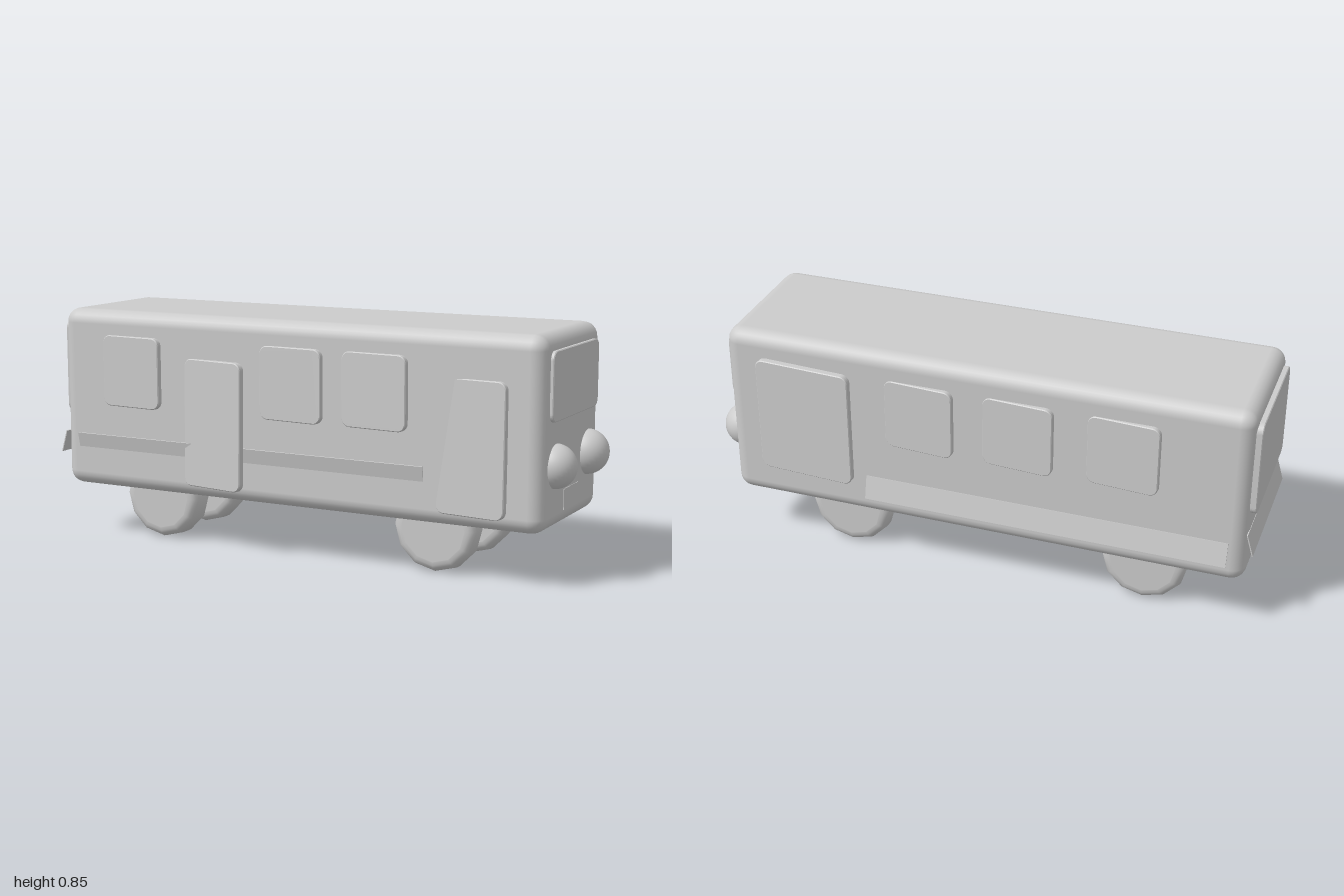
import * as THREE from 'three';
import { RoundedBoxGeometry } from 'three/addons/geometries/RoundedBoxGeometry.js';

const mat = new THREE.MeshStandardMaterial({ color: 0xcccccc });

export function createModel() {
  const bus = new THREE.Group();
  bus.name = 'bus';

  const add = (name, geometry, x, y, z) => {
    const mesh = new THREE.Mesh(geometry, mat);
    mesh.name = name;
    mesh.position.set(x, y, z);
    bus.add(mesh);
    return mesh;
  };

  // Rounded-rectangle panel; its outer face lies at local z = 0
  const panel = (name, w, h, x, y, z, turn, tilt = 0, thick = 0.02, r = 0.03) => {
    const a = w / 2, b = h / 2, s = new THREE.Shape();
    s.moveTo(-a + r, -b);
    s.lineTo(a - r, -b);
    s.absarc(a - r, -b + r, r, -Math.PI / 2, 0);
    s.absarc(a - r, b - r, r, 0, Math.PI / 2);
    s.absarc(-a + r, b - r, r, Math.PI / 2, Math.PI);
    s.absarc(-a + r, -b + r, r, Math.PI, Math.PI * 1.5);
    const g = new THREE.ExtrudeGeometry(s, {
      depth: thick, curveSegments: 5, bevelThickness: 0.003,
      bevelSize: 0.003, bevelOffset: -0.003, bevelSegments: 1,
    });
    g.translate(0, 0, -thick - 0.003);
    const mesh = add(name, g, x, y, z);
    mesh.rotation.set(tilt, turn, 0, 'YXZ');
  };

  // Body shell
  add('body', new RoundedBoxGeometry(1.9, 0.66, 0.541, 3, 0.052), -0.026, 0.52, -0.003);

  // Left and right side windows, each slightly ajar
  for (const x of [-0.67, -0.008, 0.315]) {
    panel('sideWindow', 0.25, 0.26, x, 0.63, 0.279, -0.07);
  }
  for (const x of [-0.54, -0.168, 0.193]) {
    panel('sideWindow', 0.255, 0.26, x, 0.625, -0.284, Math.PI - 0.07);
  }

  // Doors
  panel('middleDoor', 0.255, 0.46, -0.318, 0.465, 0.292, -0.15, -0.016);
  panel('frontDoor', 0.255, 0.46, 0.672, 0.465, 0.277, -0.1, -0.015);
  panel('driverDoor', 0.36, 0.435, 0.62, 0.543, -0.305, Math.PI - 0.06);

  // Windshield, rear window and number plate
  panel('windshield', 0.435, 0.235, 0.936, 0.678, -0.003, Math.PI / 2);
  panel('rearWindow', 0.46, 0.345, -0.995, 0.628, -0.01, -Math.PI / 2);
  add('plate', new THREE.BoxGeometry(0.01, 0.073, 0.134), 0.921, 0.281, 0);

  // Tilted trim strips on both sides and the rear
  add('sideTrim', new THREE.BoxGeometry(1.41, 0.085, 0.004), -0.205, 0.348, 0.268).rotation.x = 0.22;
  add('sideTrim', new THREE.BoxGeometry(1.31, 0.087, 0.004), -0.265, 0.322, -0.303).rotation.x = 0.24;
  add('rearTrim', new THREE.BoxGeometry(0.004, 0.083, 0.52), -0.987, 0.348, 0).rotation.z = -0.28;

  // Headlights
  add('headlight', new THREE.SphereGeometry(0.076, 32, 20), 0.92, 0.408, 0.146);
  add('headlight', new THREE.SphereGeometry(0.079, 32, 20), 0.92, 0.407, -0.164);

  // Wheels: flat-sided twelve-sided discs with rounded shoulders
  const wheel = (x, z, width) => {
    const R = 0.155, r = 0.036, h = width / 2, flat = R - r;
    const pts = [new THREE.Vector2(0, -h), new THREE.Vector2(flat - 0.002, -h)];
    for (let i = 0; i <= 5; i++) {
      const t = -Math.PI / 2 + (i / 5) * Math.PI / 2;
      pts.push(new THREE.Vector2(flat + r * Math.cos(t), -h + r + r * Math.sin(t)));
    }
    for (let i = 0; i <= 5; i++) {
      const t = (i / 5) * Math.PI / 2;
      pts.push(new THREE.Vector2(flat + r * Math.cos(t), h - r + r * Math.sin(t)));
    }
    pts.push(new THREE.Vector2(flat - 0.002, h), new THREE.Vector2(0, h));
    const g = new THREE.LatheGeometry(pts, 12);
    g.rotateX(Math.PI / 2);
    add('wheel', g, x, 0.158, z);
  };
  wheel(0.5, 0.138, 0.098);
  wheel(-0.61, 0.129, 0.116);
  wheel(0.5, -0.159, 0.098);
  wheel(-0.61, -0.154, 0.108);

  return bus;
}
